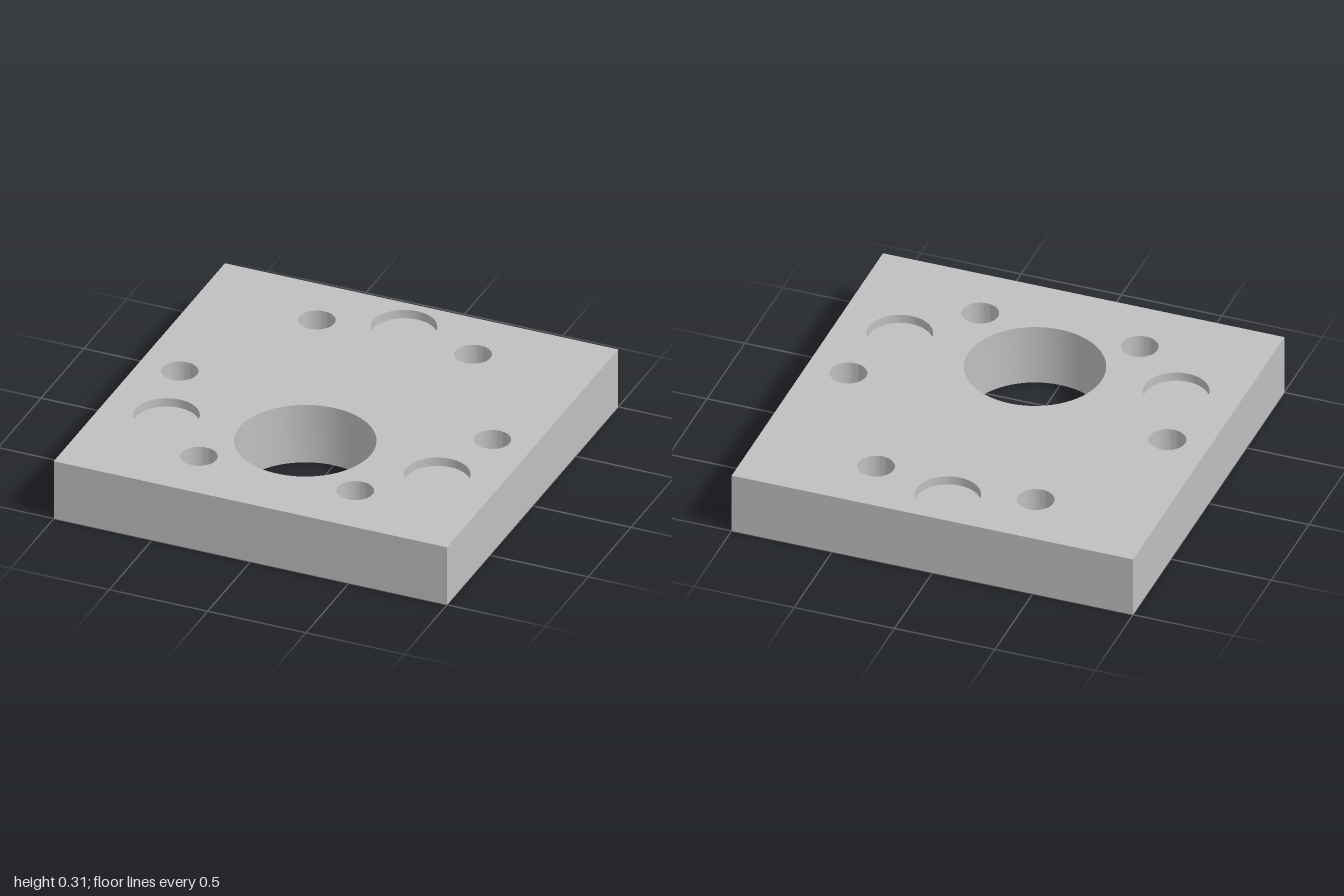
import * as THREE from 'three';
import { toCreasedNormals } from 'three/addons/utils/BufferGeometryUtils.js';

const HEIGHT = 0.31, LEDGE = 0.155, POCKET_FLOOR = 0.265;
const BOLT_CIRCLE = 0.795, SEGMENTS = 64;
const BORE = 0.332, BOLT = 0.088, WIDE = 0.155;

// Evenly spaced [x, z] positions on the bolt circle
const ring = (count, start) => Array.from({ length: count }, (_, i) => {
  const a = start + (i * 2 * Math.PI) / count;
  return [BOLT_CIRCLE * Math.cos(a), BOLT_CIRCLE * Math.sin(a)];
});

// Square face pierced by round holes; facing is 1 for up, -1 for down
function piercedFace(holes, facing) {
  const shape = new THREE.Shape([[-1, -1], [1, -1], [1, 1], [-1, 1]].map(([x, y]) => new THREE.Vector2(x, y)));
  for (const [x, z, r] of holes) {
    const points = [];
    for (let i = 0; i < SEGMENTS; i++) {
      const a = (-i / SEGMENTS) * 2 * Math.PI;
      points.push(new THREE.Vector2(x + r * Math.cos(a), -facing * z + r * Math.sin(a)));
    }
    shape.holes.push(new THREE.Path(points));
  }
  return new THREE.ShapeGeometry(shape).rotateX((-facing * Math.PI) / 2);
}

// Inward-facing hole surface, profile given from the top down as [radius, y]
function holeSurface(profile) {
  const lathe = new THREE.LatheGeometry(profile.map(([r, y]) => new THREE.Vector2(r, y)), SEGMENTS);
  return toCreasedNormals(lathe, Math.PI / 5);
}

export function createModel() {
  const group = new THREE.Group();
  const metal = new THREE.MeshStandardMaterial({ color: 0xc0c0c0 });
  metal.name = 'grey metal';

  const add = (name, geometry, x = 0, y = 0, z = 0) => {
    const mesh = new THREE.Mesh(geometry, metal);
    mesh.name = name;
    mesh.position.set(x, y, z);
    group.add(mesh);
  };

  const bolts = ring(6, 0);
  const pockets = ring(3, -Math.PI / 2);
  const bore = [0, 0.358, BORE];
  const withRadius = (places, r) => places.map(([x, z]) => [x, z, r]);

  // Plate faces and outer walls
  add('topFace', piercedFace([bore, ...withRadius(bolts, BOLT), ...withRadius(pockets, WIDE)], 1), 0, HEIGHT, 0);
  add('bottomFace', piercedFace([bore, ...withRadius(bolts, WIDE)], -1));
  const walls = new THREE.CylinderGeometry(Math.SQRT2, Math.SQRT2, HEIGHT, 4, 1, true).rotateY(Math.PI / 4);
  add('sideWalls', toCreasedNormals(walls, 0.5), 0, HEIGHT / 2, 0);

  // Large off-centre bore through the plate
  add('mainBore', holeSurface([[BORE, HEIGHT], [BORE, 0]]), bore[0], 0, bore[1]);

  // Bolt holes, counterbored from below
  const boltHole = holeSurface([[BOLT, HEIGHT], [BOLT, LEDGE], [WIDE, LEDGE], [WIDE, 0]]);
  bolts.forEach(([x, z]) => add('boltHole', boltHole, x, 0, z));

  // Shallow round pockets in the top
  const pocket = holeSurface([[WIDE, HEIGHT], [WIDE, POCKET_FLOOR], [0, POCKET_FLOOR]]);
  pockets.forEach(([x, z]) => add('pocket', pocket, x, 0, z));

  return group;
}
